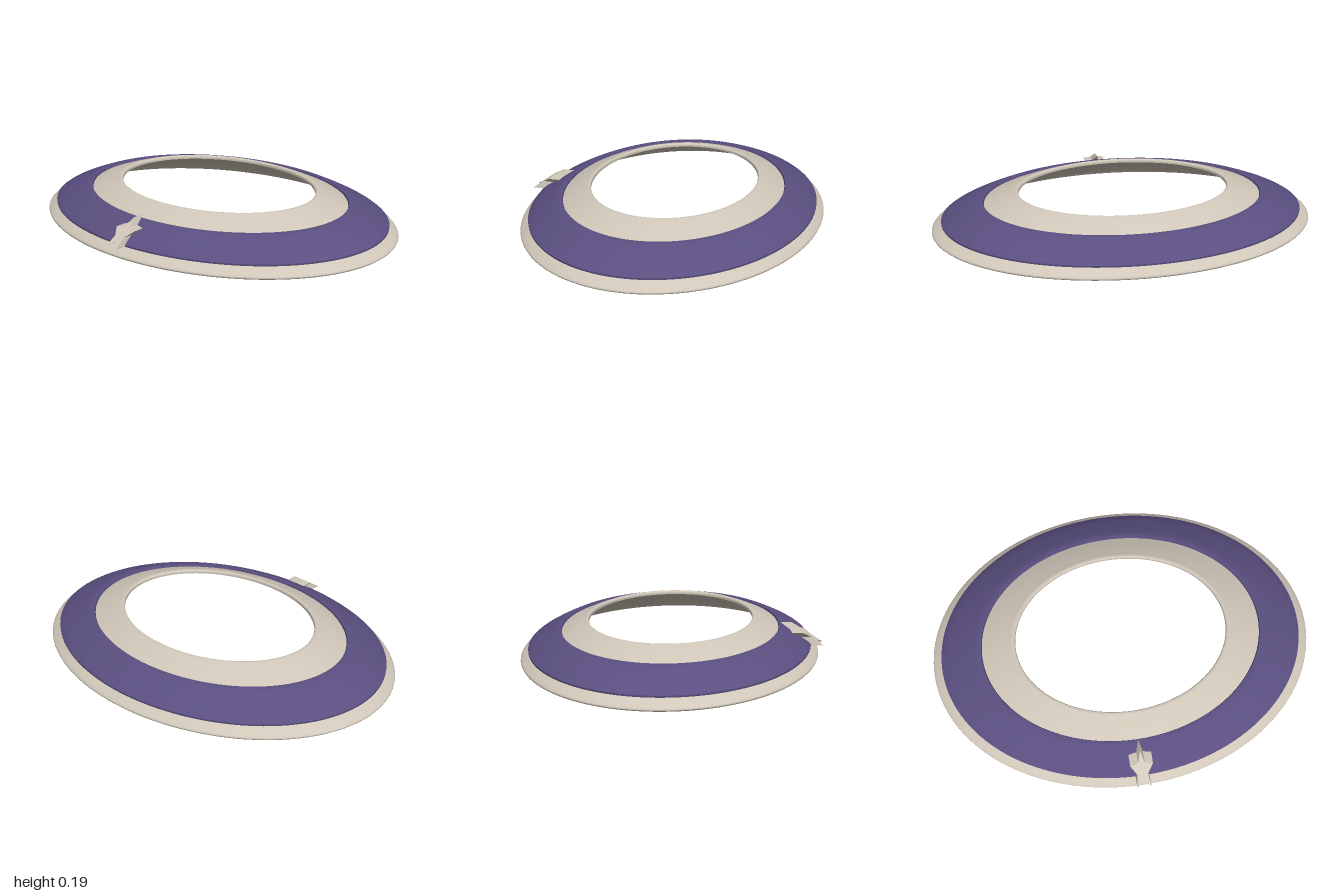
import * as THREE from 'three';

const cream = new THREE.MeshStandardMaterial({ color: 0xd0c7b9, side: THREE.DoubleSide });
cream.name = 'cream';
const purple = new THREE.MeshStandardMaterial({ color: 0x5a4f80, side: THREE.DoubleSide });
purple.name = 'purple';

const DEPTH_RATIO = 0.771; // oval: depth against width
const CENTRE_Z = -0.015;

// One smooth strip of the oval ring, swept from [radius, height] points
function ovalStrip(name, points, material) {
  const curve = new THREE.SplineCurve(points.map(([r, y]) => new THREE.Vector2(r, y)));
  const profile = points.length > 2 ? curve.getPoints(12) : curve.points;
  const mesh = new THREE.Mesh(new THREE.LatheGeometry(profile, 128), material);
  mesh.name = name;
  mesh.scale.z = DEPTH_RATIO;
  mesh.position.z = CENTRE_Z;
  return mesh;
}

// Five-pointed star, slanted backwards to follow the slope of the ring
function starBadge() {
  const shape = new THREE.Shape();
  for (let i = 0; i < 10; i++) {
    const r = i % 2 ? 0.029 : 0.061;
    const a = Math.PI / 2 + (i * Math.PI) / 5;
    shape[i ? 'lineTo' : 'moveTo'](r * Math.cos(a), r * Math.sin(a));
  }
  shape.closePath();
  const geometry = new THREE.ExtrudeGeometry(shape, { depth: 0.06, bevelEnabled: false });
  const p = geometry.attributes.position;
  for (let i = 0; i < p.count; i++) p.setZ(i, p.getZ(i) - 1.5 * p.getY(i));
  geometry.computeVertexNormals();
  const star = new THREE.Mesh(geometry, cream);
  star.name = 'starBadge';
  star.position.set(0, 0.108, 0.647);
  return star;
}

export function createModel() {
  const model = new THREE.Group();
  model.name = 'ovalRing';

  // Cream shell: rolled rim, sloping top, hole edge and hollow underside
  model.add(
    ovalStrip('outerRim', [[0.975, 0], [0.995, 0.006], [1, 0.016], [0.985, 0.029], [0.94, 0.053]], cream),
    ovalStrip('shellTop', [[0.94, 0.053], [0.86, 0.09], [0.73, 0.136], [0.65, 0.165], [0.57, 0.19]], cream),
    ovalStrip('holeLip', [[0.57, 0.19], [0.556, 0.19], [0.55, 0.183], [0.55, 0.172]], cream),
    ovalStrip('underside', [[0.55, 0.172], [0.65, 0.145], [0.75, 0.112], [0.87, 0.067], [0.945, 0.027], [0.975, 0]], cream)
  );

  // Raised purple band with thin edges
  model.add(
    ovalStrip('bandLowerEdge', [[0.925, 0.055], [0.95, 0.055]], purple),
    ovalStrip('bandOuterEdge', [[0.95, 0.055], [0.951, 0.064]], purple),
    ovalStrip('band', [[0.951, 0.064], [0.92, 0.083], [0.86, 0.109], [0.77, 0.142], [0.733, 0.146]], purple),
    ovalStrip('bandInnerEdge', [[0.733, 0.146], [0.728, 0.134]], purple)
  );

  model.add(starBadge());
  return model;
}
